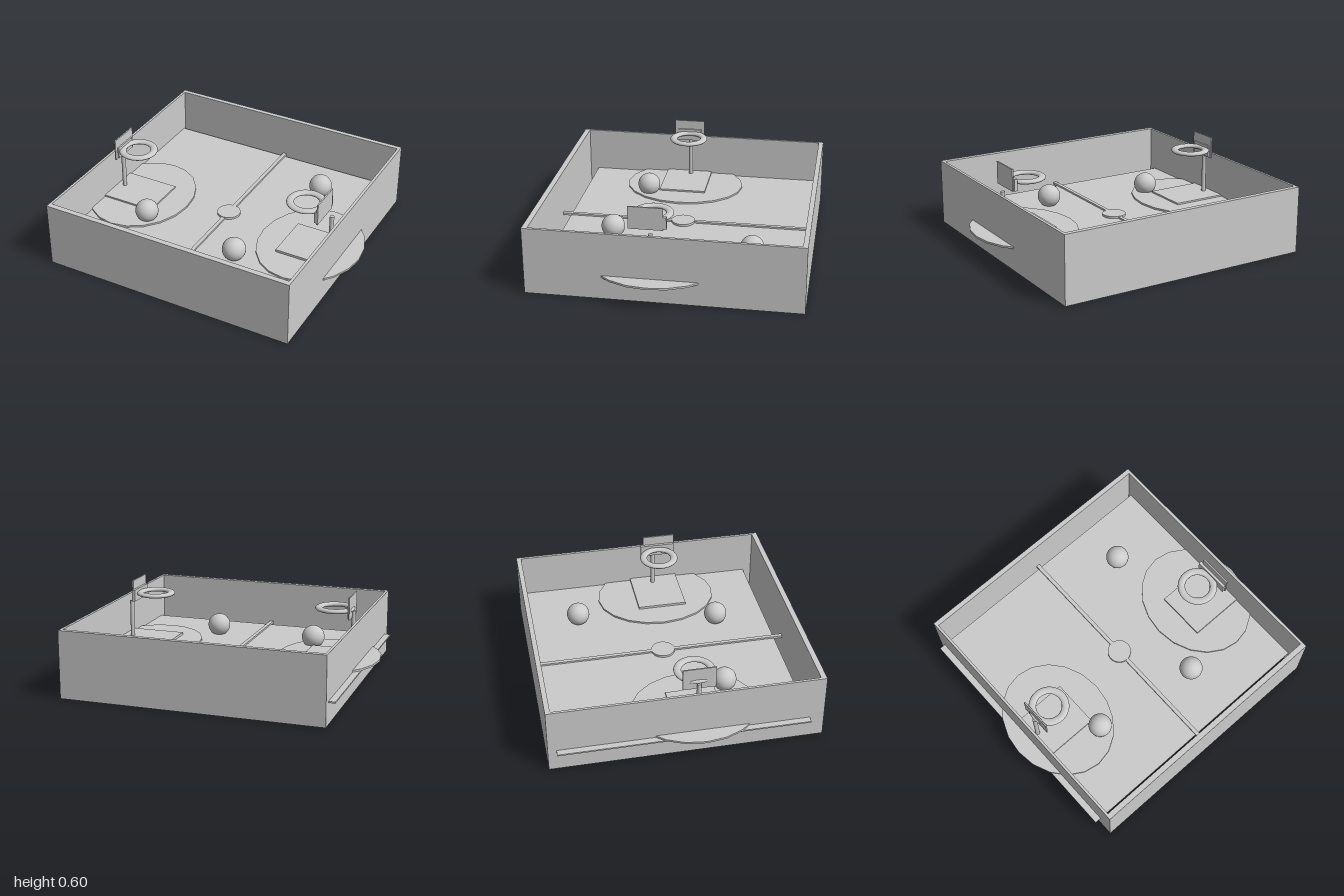
import * as THREE from 'three';

const material = new THREE.MeshStandardMaterial({ color: 0xcccccc });

export function createModel() {
  const model = new THREE.Group();

  const add = (name, geometry, x = 0, y = 0, z = 0) => {
    const mesh = new THREE.Mesh(geometry, material);
    mesh.name = name;
    mesh.position.set(x, y, z);
    model.add(mesh);
    return mesh;
  };
  // Box given by its limits on each axis
  const box = (name, [x0, x1], [y0, y1], [z0, z1]) =>
    add(name, new THREE.BoxGeometry(x1 - x0, y1 - y0, z1 - z0),
      (x0 + x1) / 2, (y0 + y1) / 2, (z0 + z1) / 2);
  // Upright round part between two heights
  const disc = (name, r, [y0, y1], x, z, sides = 32) =>
    add(name, new THREE.CylinderGeometry(r, r, y1 - y0, sides), x, (y0 + y1) / 2, z);

  // Rectangular wall frame, open above and below
  const outline = new THREE.Shape([[-0.885, -0.895], [0.877, -0.895], [0.877, 0.895], [-0.885, 0.895]]
    .map(([x, y]) => new THREE.Vector2(x, y)));
  outline.holes.push(new THREE.Path([[-0.868, -0.858], [-0.868, 0.862], [0.858, 0.862], [0.858, -0.858]]
    .map(([x, y]) => new THREE.Vector2(x, y))));
  const walls = new THREE.ExtrudeGeometry(outline, { depth: 0.455, bevelEnabled: false });
  walls.rotateX(-Math.PI / 2);
  add('walls', walls);

  // Court floor, passing through one side wall
  box('courtFloor', [-0.928, 0.865], [0.141, 0.151], [-0.84, 0.8]);

  // Centre markings
  box('centreLine', [-0.026, 0], [0.146, 0.163], [-0.865, 0.86]);
  disc('centreCircle', 0.08, [0.146, 0.166], -0.013, 0.01);

  // Oval shooting areas that poke out through the side walls
  for (const [name, x, z] of [['rightArc', -0.65, 0.095], ['leftArc', 0.645, 0.083]]) {
    const arc = new THREE.CylinderGeometry(1, 1, 0.013, 20);
    arc.rotateY(Math.PI / 2);
    add(name, arc, x, 0.157, z).scale.set(0.35, 1, 0.42);
  }

  // Raised keys in front of the hoops
  box('rightKey', [-0.87, -0.49], [0.146, 0.175], [-0.07, 0.26]);
  box('leftKey', [0.48, 0.86], [0.146, 0.18], [-0.067, 0.275]);

  // Hoops: post, backboard, bracket and flattened rim
  const rim = (name, x, z) => {
    const ring = new THREE.TorusGeometry(0.109, 0.025, 16, 40);
    ring.rotateX(Math.PI / 2);
    add(name, ring, x, 0.5, z).scale.y = 0.6;
  };
  disc('rightPost', 0.015, [0.15, 0.49], -0.817, 0.08, 20);
  box('rightBackboard', [-0.81, -0.801], [0.445, 0.597], [-0.023, 0.192]);
  box('rightBracket', [-0.801, -0.79], [0.452, 0.533], [0, 0.17]);
  rim('rightRim', -0.69, 0.077);

  disc('leftPost', 0.015, [0.15, 0.435], 0.79, 0.09, 20);
  box('leftBackboard', [0.745, 0.755], [0.445, 0.597], [0.015, 0.24]);
  box('leftBracket', [0.727, 0.75], [0.452, 0.533], [-0.005, 0.235]);
  rim('leftRim', 0.613, 0.104);

  // Loose balls
  for (const [x, z] of [[0.437, -0.515], [-0.475, 0.333], [0.26, 0.443]])
    add('ball', new THREE.SphereGeometry(0.079, 32, 24), x, 0.217, z);

  return model;
}
